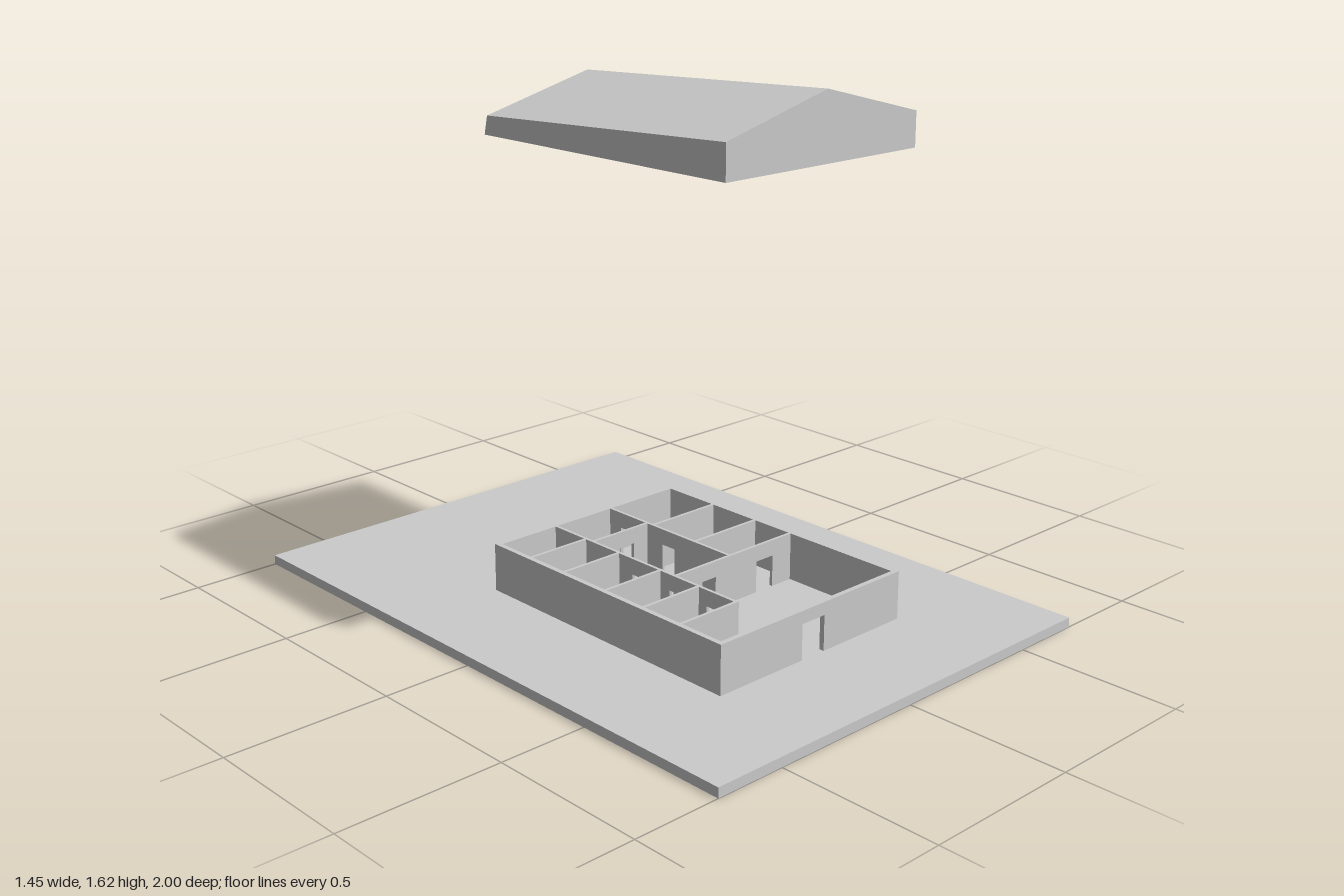
import * as THREE from 'three';

const FLOOR = 0.03, TOP = 0.18;

export function createModel() {
  const model = new THREE.Group();
  model.name = 'houseWithLiftedRoof';
  const mat = new THREE.MeshStandardMaterial({ color: 0xcccccc, flatShading: true });

  const add = (name, geometry, parent = model) => {
    const mesh = new THREE.Mesh(geometry, mat);
    mesh.name = name;
    parent.add(mesh);
    return mesh;
  };

  // Upright wall from (x0,z0) to (x1,z1); doors are [centre along wall, width, height]
  const wall = (parent, name, x0, z0, x1, z1, thick, doors = []) => {
    const length = Math.hypot(x1 - x0, z1 - z0);
    const s = new THREE.Shape();
    s.moveTo(0, 0);
    for (const [c, w, h] of doors) {
      s.lineTo(c - w / 2, 0);
      s.lineTo(c - w / 2, h);
      s.lineTo(c + w / 2, h);
      s.lineTo(c + w / 2, 0);
    }
    s.lineTo(length, 0);
    s.lineTo(length, TOP - FLOOR);
    s.lineTo(0, TOP - FLOOR);
    s.closePath();
    const g = new THREE.ExtrudeGeometry(s, { depth: thick, bevelEnabled: false });
    g.translate(0, 0, -thick / 2);
    const mesh = add(name, g, parent);
    mesh.position.set(x0, FLOOR, z0);
    mesh.rotation.y = -Math.atan2(z1 - z0, x1 - x0);
  };

  // Ground slab
  add('groundSlab', new THREE.BoxGeometry(1.45, FLOOR, 2)).position.y = FLOOR / 2;

  // Outer walls, with the entrance in the front
  const X0 = -0.38, X1 = 0.35, Z0 = -0.305, Z1 = 0.66, T = 0.016, t = 0.01;
  const outer = new THREE.Group();
  outer.name = 'outerWalls';
  model.add(outer);
  wall(outer, 'frontWall', X0, Z1 - T / 2, X1, Z1 - T / 2, T, [[0.365, 0.09, 0.11]]);
  wall(outer, 'backWall', X0, Z0 + T / 2, X1, Z0 + T / 2, T);
  for (const [name, x] of [['rightWall', X0 + T / 2], ['leftWall', X1 - T / 2]])
    wall(outer, name, x, Z0 + T, x, Z1 - T, T);

  // Inner walls: two corridor walls with a row of rooms on each side
  const inner = new THREE.Group();
  inner.name = 'innerWalls';
  model.add(inner);
  const zb = Z0 + T, xr = -0.15, xl = 0.075, door = 0.055, h = 0.1;
  wall(inner, 'rightCorridorWall', xr, 0.49, xr, zb, t,
    [0.085, 0.24, 0.40, 0.56, 0.69].map(c => [c, door, h]));
  wall(inner, 'leftCorridorWall', xl, 0.24, xl, zb, t,
    [0.26, 0.45].map(c => [c, door, h]));
  for (const z of [0.49, 0.34, 0.18, 0, -0.15])
    wall(inner, 'rightRoomDivider', X0 + T, z, xr + t / 2, z, t);
  wall(inner, 'hallWall', xl - t / 2, 0.24, X1 - T, 0.24, t, [[0.15, 0.07, h]]);
  for (const z of [0.09, -0.095])
    wall(inner, 'leftRoomDivider', xl, z, X1 - T, z, t);
  // Cross walls with doors across the corridor
  for (const z of [0.24, -0.12])
    wall(inner, 'corridorCrossWall', xr, z, xl, z, t, [[0.135, door, h]]);

  // Roof: a five-sided gable section at the front, lower and leaning at the back
  const base = 1.425;
  const section = (eave, peak, zBase, zEave, zPeak) => [
    [X0, base, zBase], [X1, base, zBase], [X1, eave, zEave], [-0.01, peak, zPeak], [X0, eave, zEave]];
  const front = section(1.527, 1.622, Z1, Z1, Z1);
  const back = section(1.481, 1.577, Z0, -0.292, -0.285);
  const pos = [];
  const tri = (...pts) => pts.forEach(p => pos.push(...p));
  for (let i = 0; i < 5; i++) {
    const j = (i + 1) % 5;
    tri(front[i], back[i], back[j]);
    tri(front[i], back[j], front[j]);
  }
  for (let i = 1; i < 4; i++) {
    tri(front[0], front[i], front[i + 1]);
    tri(back[0], back[i + 1], back[i]);
  }
  const roof = new THREE.BufferGeometry();
  roof.setAttribute('position', new THREE.Float32BufferAttribute(pos, 3));
  roof.computeVertexNormals();
  add('roof', roof);

  return model;
}
